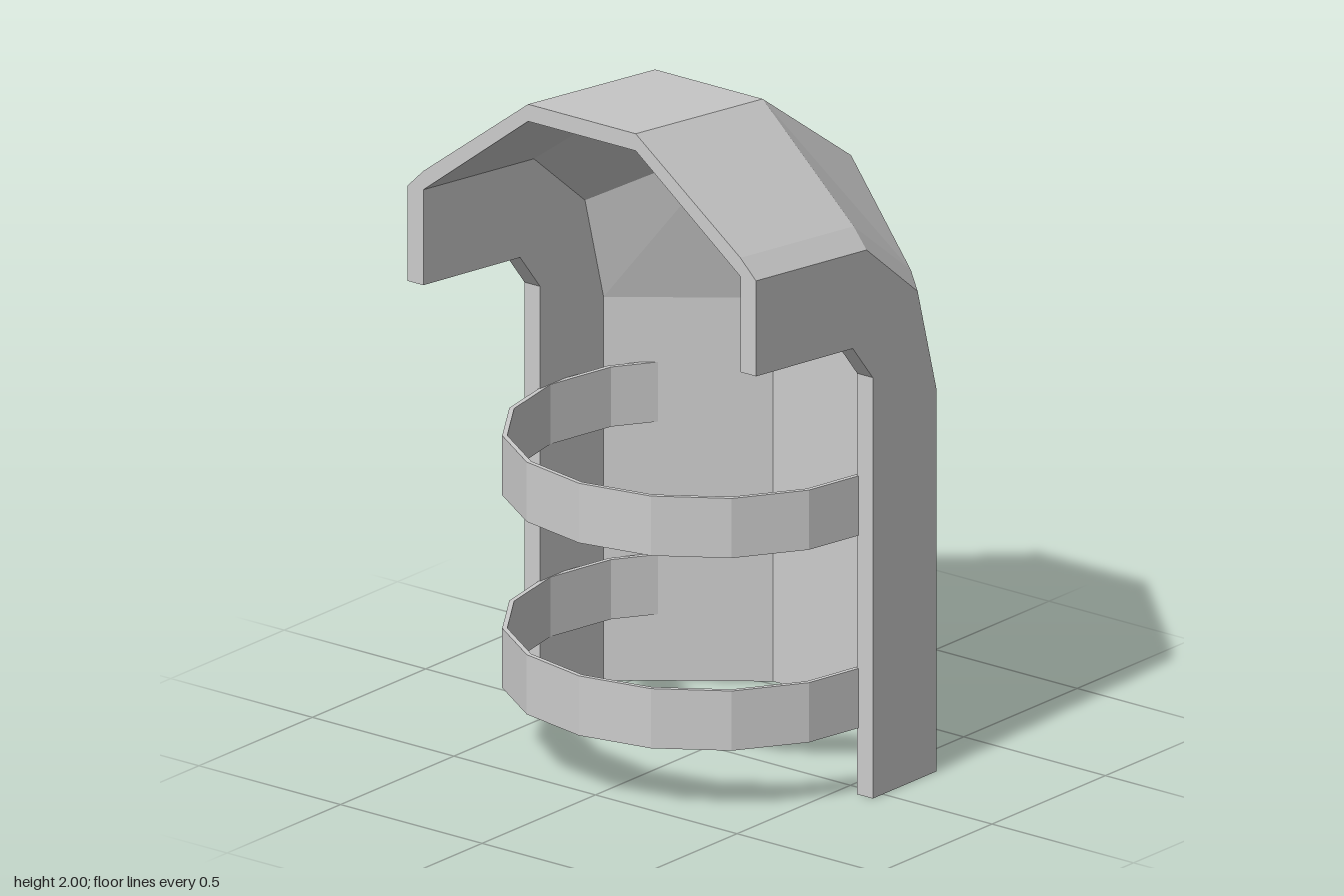
import * as THREE from 'three';

const material = new THREE.MeshStandardMaterial({ color: 0xcccccc, flatShading: true });

// Half sections as [x, depth below the crown]; mirrored to full width
const mirror = half => [...half.map(([x, d]) => [-x, d]), ...half.slice().reverse()];
const outer = mirror([[0.615, 0.615], [0.615, 0.335], [0.56, 0.28], [0.19, 0]]);
const inner = mirror([[0.56, 0.615], [0.56, 0.335], [0.56, 0.335], [0.19, 0.05]]);

// Sweep stations as crown [z, y] and lower lip [z, y], from front opening to foot
const DEPTH = 0.615;
const stations = [
  [[0.56, 2], [0.56, 1.385]],
  [[0, 1.943], [0.133, 1.345]],
  [[-0.39, 1.667], [0.045, 1.235]],
  [[-0.57, 1.125], [0.045, 1.125]],
  [[-0.57, 0], [0.045, 0]],
];

function place([x, d], [crown, lip]) {
  const t = d / DEPTH;
  return new THREE.Vector3(
    x,
    THREE.MathUtils.lerp(crown[1], lip[1], t),
    THREE.MathUtils.lerp(crown[0], lip[0], t)
  );
}

function hoodGeometry() {
  const points = [];
  const tri = (a, b, c) => {
    if (a.distanceTo(b) < 1e-6 || b.distanceTo(c) < 1e-6 || a.distanceTo(c) < 1e-6) return;
    points.push(a, b, c);
  };
  const quad = (a, b, c, d) => { tri(a, b, c); tri(a, c, d); };

  // Outer skin, lips and inner skin between neighbouring stations
  const loop = [...outer, ...inner.slice().reverse()];
  for (let s = 0; s < stations.length - 1; s++) {
    loop.forEach((p, i) => {
      const q = loop[(i + 1) % loop.length];
      quad(place(p, stations[s]), place(q, stations[s]),
        place(q, stations[s + 1]), place(p, stations[s + 1]));
    });
  }
  // Rims at the front opening and at the foot
  const front = stations[0], foot = stations[stations.length - 1];
  for (let i = 0; i < outer.length - 1; i++) {
    quad(place(inner[i], front), place(inner[i + 1], front),
      place(outer[i + 1], front), place(outer[i], front));
    quad(place(outer[i], foot), place(outer[i + 1], foot),
      place(inner[i + 1], foot), place(inner[i], foot));
  }
  const geometry = new THREE.BufferGeometry().setFromPoints(points);
  geometry.computeVertexNormals();
  return geometry;
}

// Faceted strap curving round the front, its ends sunk into the side walls
function strapGeometry(height) {
  const arc = radius => {
    const pts = [];
    for (let i = -1; i <= 9; i++) {
      const a = i * Math.PI / 8;
      pts.push(new THREE.Vector2(Math.cos(a) * radius, Math.sin(a) * radius));
    }
    const end = new THREE.Vector2(0.436, -0.359).multiplyScalar(radius / 0.573);
    return [end, ...pts, new THREE.Vector2(-end.x, end.y)];
  };
  const shape = new THREE.Shape([...arc(0.573), ...arc(0.559).reverse()]);
  const geometry = new THREE.ExtrudeGeometry(shape, { depth: height, bevelEnabled: false });
  return geometry.rotateX(Math.PI / 2);
}

export function createModel() {
  const model = new THREE.Group();
  model.name = 'hoodedShell';

  const hood = new THREE.Mesh(hoodGeometry(), material);
  hood.name = 'hood';
  model.add(hood);

  const strap = strapGeometry(0.175);
  [['lowerStrap', 0.37], ['upperStrap', 0.935]].forEach(([name, top]) => {
    const mesh = new THREE.Mesh(strap, material);
    mesh.name = name;
    mesh.position.y = top;
    model.add(mesh);
  });
  return model;
}
